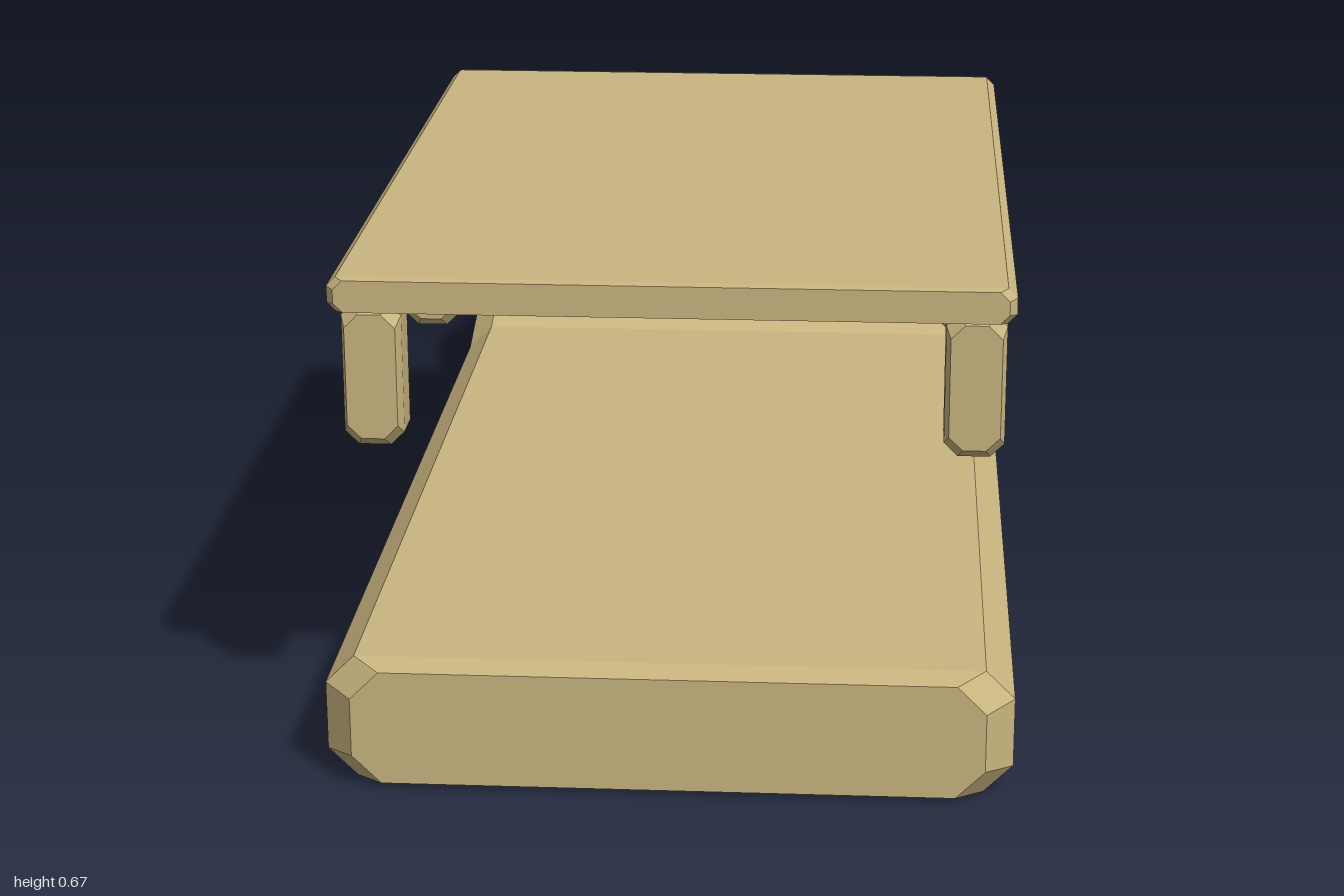
import * as THREE from 'three';

const material = new THREE.MeshStandardMaterial({ color: 0xc9b57f, flatShading: true });

// Octagonal cross-section: a rectangle in x-y with its corners cut by c, counter-clockwise seen from +z
function octagon({ z, w, y0, y1, c }) {
  return [
    [-w + c, y0], [w - c, y0], [w, y0 + c], [w, y1 - c],
    [w - c, y1], [-w + c, y1], [-w, y1 - c], [-w, y0 + c],
  ].map(([x, y]) => [x, y, z]);
}

// Skin a list of sections running from front (+z) to back (-z) and close both ends
function loft(sections) {
  const rings = sections.map(octagon);
  const verts = [];
  const tri = (a, b, c) => verts.push(...a, ...b, ...c);
  for (let s = 0; s < rings.length - 1; s++) {
    const a = rings[s], b = rings[s + 1];
    for (let i = 0; i < 8; i++) {
      const j = (i + 1) % 8;
      tri(a[i], b[i], a[j]);
      tri(b[i], b[j], a[j]);
    }
  }
  const front = rings[0], back = rings[rings.length - 1];
  for (let i = 1; i < 7; i++) {
    tri(front[0], front[i], front[i + 1]);
    tri(back[0], back[i + 1], back[i]);
  }
  const geometry = new THREE.BufferGeometry();
  geometry.setAttribute('position', new THREE.Float32BufferAttribute(verts, 3));
  geometry.computeVertexNormals();
  return geometry;
}

// Chamfered slab: the end faces shrink by insetX / insetY over a depth of bevelZ;
// extra sections in the middle may change the height of the top
function chamferedSlab(name, { w, y0, y1, zFront, zBack, c, bevelZ, insetX, insetY, middle = [] }) {
  const full = { w, y0, y1, c };
  const end = { w: w - insetX, y0: y0 + insetY, y1: y1 - insetY, c };
  const mesh = new THREE.Mesh(loft([
    { ...end, z: zFront },
    { ...full, z: zFront - bevelZ },
    ...middle.map((m) => ({ ...full, ...m })),
    { ...full, z: zBack + bevelZ },
    { ...end, z: zBack },
  ]), material);
  mesh.name = name;
  return mesh;
}

export function createModel() {
  const model = new THREE.Group();
  model.name = 'canopyBed';

  // Long base with a raised ridge near the back
  model.add(chamferedSlab('base', {
    w: 0.447, y0: 0, y1: 0.17, zFront: 1, zBack: -1,
    c: 0.038, bevelZ: 0.037, insetX: 0.037, insetY: 0.007,
    middle: [{ z: -0.43 }, { z: -0.715, y1: 0.265 }],
  }));

  // Thin panel floating above the base
  model.add(chamferedSlab('topPanel', {
    w: 0.437, y0: 0.62, y1: 0.666, zFront: 0.918, zBack: -0.257,
    c: 0.012, bevelZ: 0.012, insetX: 0.01, insetY: 0.002,
  }));

  // Three short posts hanging under each side of the panel
  const posts = new THREE.Group();
  posts.name = 'posts';
  for (const side of [1, -1]) {
    for (const z of [0.842, 0.332, -0.177]) {
      const post = chamferedSlab(side > 0 ? 'leftPost' : 'rightPost', {
        w: 0.039, y0: 0.427, y1: 0.621, zFront: 0.04, zBack: -0.04,
        c: 0.018, bevelZ: 0.016, insetX: 0.006, insetY: 0.013,
      });
      post.position.set(side * 0.388, 0, z);
      posts.add(post);
    }
  }
  model.add(posts);
  return model;
}
